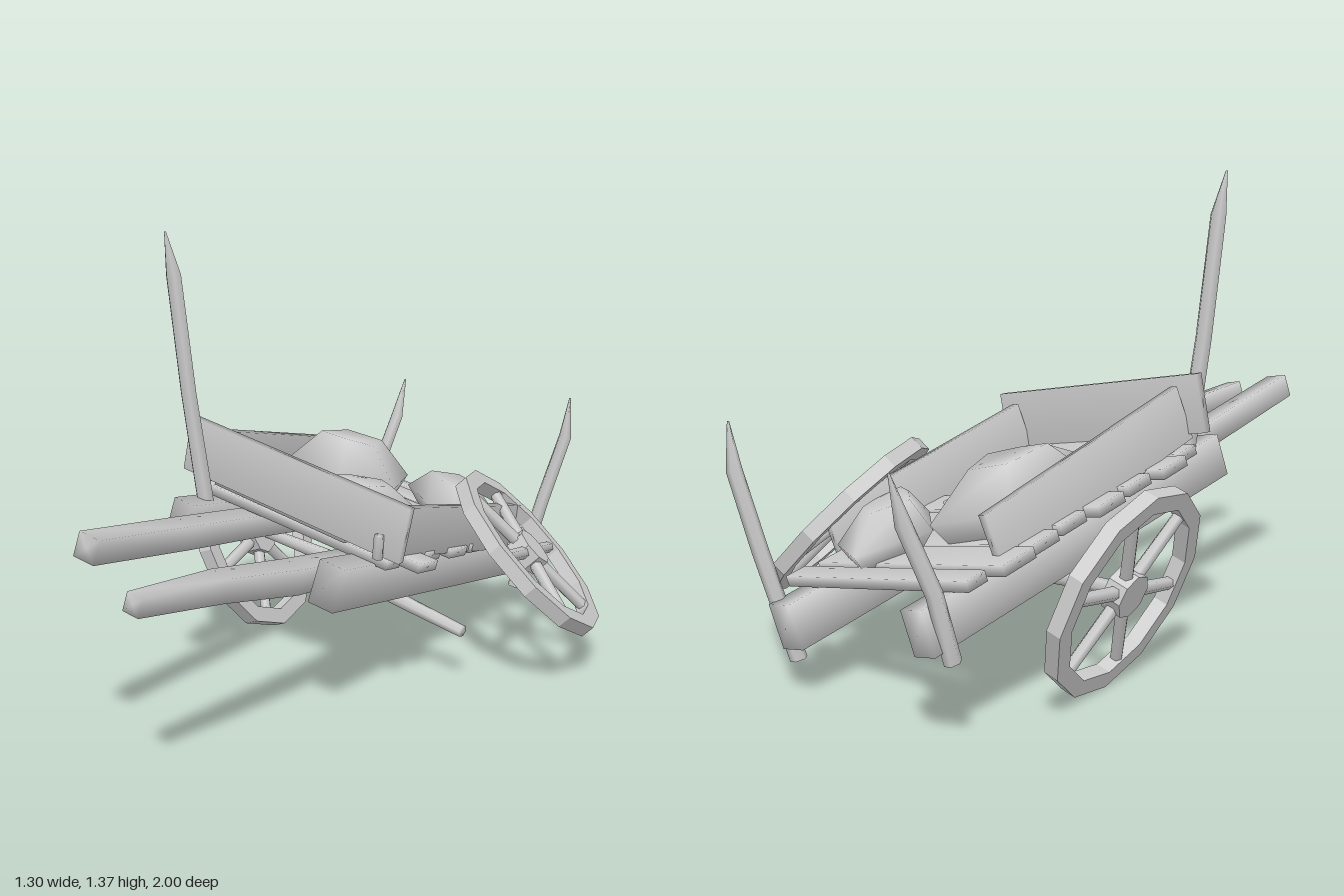
import * as THREE from 'three';
import { mergeVertices } from 'three/addons/utils/BufferGeometryUtils.js';
import { ConvexGeometry } from 'three/addons/geometries/ConvexGeometry.js';

const V = (p) => new THREE.Vector3(...p);
const UP = V([0.2, 0.96, -0.18]).normalize(); // the wrecked bed rolls to one side and pitches back
const material = new THREE.MeshStandardMaterial({ color: 0xcccccc });
const flat = new THREE.MeshStandardMaterial({ color: 0xcccccc, flatShading: true });

// Shared vertices with averaged normals give the worn, rounded shading
function soften(geometry) {
  geometry.deleteAttribute('normal');
  geometry.deleteAttribute('uv');
  const merged = mergeVertices(geometry, 1e-4);
  merged.computeVertexNormals();
  return merged;
}

export function createModel() {
  const cart = new THREE.Group();
  cart.name = 'brokenCart';

  function add(name, geometry, mat = material, parent = cart) {
    const mesh = new THREE.Mesh(geometry, mat);
    mesh.name = name;
    parent.add(mesh);
    return mesh;
  }

  // Squared timber running from a to b
  function beam(name, a, b, w, h, up = UP) {
    const from = V(a), to = V(b);
    const dir = to.clone().sub(from);
    const mesh = add(name, soften(new THREE.BoxGeometry(w, h, dir.length())));
    dir.normalize();
    const x = up.clone().cross(dir).normalize();
    const y = dir.clone().cross(x);
    mesh.quaternion.setFromRotationMatrix(new THREE.Matrix4().makeBasis(x, y, dir));
    mesh.position.copy(from.add(to).multiplyScalar(0.5));
  }

  // Rough pole through points [x, y, z, radius]; four sides make a squared one
  function pole(name, points, sides = 6) {
    const n = points.length - 1;
    const centres = points.map((p) => V(p.slice(0, 3)));
    const axis = centres[0].clone().sub(centres[n]).normalize();
    const e1 = UP.clone().cross(axis);
    if (e1.length() < 0.3) e1.set(0, 0, 1).cross(axis);
    e1.normalize();
    const e3 = e1.clone().cross(axis);
    const geometry = new THREE.CylinderGeometry(1, 1, 1, sides, n);
    geometry.rotateY(Math.PI / sides);
    const pos = geometry.attributes.position;
    for (let i = 0; i < pos.count; i++) {
      const k = Math.round((0.5 - pos.getY(i)) * n);
      const p = centres[k].clone()
        .addScaledVector(e1, pos.getX(i) * points[k][3])
        .addScaledVector(e3, pos.getZ(i) * points[k][3]);
      pos.setXYZ(i, p.x, p.y, p.z);
    }
    add(name, soften(geometry));
  }

  // Twelve-sided wheel with six spokes
  function wheel(name, centre, normal, turn) {
    const group = new THREE.Group();
    group.name = name;
    const ri = 0.258, ro = 0.309, t = 0.022;
    const profile = [[ri, -t], [ro, -t], [ro, t], [ri, t], [ri, -t]].map((p) => new THREE.Vector2(...p));
    add('rim', new THREE.LatheGeometry(profile, 12), flat, group);
    add('hub', new THREE.CylinderGeometry(0.065, 0.065, 0.06, 8), flat, group);
    for (let i = 0; i < 6; i++) {
      const spoke = new THREE.CylinderGeometry(0.018, 0.02, 0.24, 6);
      spoke.translate(0, 0.15, 0).rotateX(Math.PI / 2).rotateY(turn + i * Math.PI / 3);
      add('spoke', spoke, material, group);
    }
    group.position.copy(V(centre));
    group.quaternion.setFromUnitVectors(new THREE.Vector3(0, 1, 0), V(normal).normalize());
    cart.add(group);
  }

  // Lumpy sack: an outline [x, z] with smaller rings above and below
  function sack(name, outline, yLow, yHigh) {
    const cx = outline.reduce((s, p) => s + p[0], 0) / outline.length;
    const cz = outline.reduce((s, p) => s + p[1], 0) / outline.length;
    const points = [];
    for (const [level, scale] of [[0, 0.7], [0.45, 1], [1, 0.5]]) {
      for (const [x, z] of outline) {
        const dx = (x - cx) * scale, dz = (z - cz) * scale;
        points.push(new THREE.Vector3(cx + dx, yLow + (yHigh - yLow) * level - 0.2 * dx + 0.18 * dz, cz + dz));
      }
    }
    add(name, soften(new ConvexGeometry(points)));
  }

  // Main rails
  beam('rightRail', [-0.355, 0.535, 0.3], [-0.385, 0.318, -0.93], 0.075, 0.125);
  beam('leftRail', [0.165, 0.435, 0.3], [0.135, 0.207, -0.92], 0.085, 0.13);

  // Pulling shafts
  pole('rightShaft', [[-0.2, 0.635, 0.87, 0.05], [-0.225, 0.56, 0.45, 0.052],
    [-0.24, 0.5, 0.1, 0.05], [-0.255, 0.42, -0.32, 0.045]], 4);
  pole('leftShaft', [[0.06, 0.57, 0.995, 0.037], [0.08, 0.53, 0.68, 0.05],
    [0.08, 0.46, 0.35, 0.056], [0.06, 0.4, 0, 0.05]], 4);

  // Cross planks of the bed: z, right end, left end, width
  const planks = [[0.08, -0.43, 0.25, 0.08], [-0.03, -0.47, 0.3, 0.11], [-0.16, -0.45, 0.24, 0.1],
    [-0.3, -0.47, 0.25, 0.11], [-0.43, -0.45, 0.24, 0.1], [-0.56, -0.47, 0.24, 0.1],
    [-0.68, -0.49, 0.21, 0.12], [-0.8, -0.46, 0.23, 0.07]];
  const bedY = (x, z) => 0.614 + 0.18 * (z - 0.3) - 0.2 * (x + 0.355);
  for (const [z, x0, x1, w] of planks) {
    beam('bedPlank', [x0, bedY(x0, z), z], [x1, bedY(x1, z), z], w, 0.03);
  }

  // Loose floor panel
  beam('floorPanel', [-0.125, bedY(-0.125, 0.12) + 0.028, 0.12],
    [-0.125, bedY(-0.125, -0.36) + 0.028, -0.36], 0.49, 0.02);

  // Front and side boards
  beam('frontBoard', [-0.44, 0.73, 0.135], [0.325, 0.565, 0.135], 0.025, 0.17, new THREE.Vector3(0.2, 0.98, 0));
  beam('rightSideBoard', [-0.375, 0.695, 0.12], [-0.405, 0.495, -0.69], 0.025, 0.16);
  beam('leftSideBoard', [0.245, 0.56, 0.12], [0.24, 0.375, -0.66], 0.025, 0.15);

  // Corner stakes: one tall, one snapped to a stub, two at the back
  pole('frontStake', [[-0.425, 1.375, 0.245, 0.003], [-0.41, 1.25, 0.23, 0.024],
    [-0.385, 0.9, 0.205, 0.025], [-0.355, 0.6, 0.18, 0.027], [-0.345, 0.47, 0.165, 0.024]]);
  pole('snappedStake', [[0.25, 0.56, 0.16, 0.015], [0.24, 0.49, 0.15, 0.017]]);
  pole('backRightStake', [[-0.365, 0.73, -0.995, 0.003], [-0.38, 0.6, -0.965, 0.022],
    [-0.42, 0.42, -0.905, 0.023], [-0.44, 0.24, -0.865, 0.024]]);
  pole('backLeftStake', [[0.295, 0.75, -0.96, 0.003], [0.285, 0.62, -0.955, 0.022],
    [0.225, 0.4, -0.925, 0.023], [0.16, 0.095, -0.86, 0.024]]);

  // Bent axle and the two wheels, one torn off and leaning on the bed
  pole('axle', [[-0.52, 0.315, -0.33, 0.018], [-0.24, 0.285, -0.3, 0.023],
    [0.05, 0.21, -0.26, 0.023], [0.32, 0.17, -0.21, 0.019]]);
  wheel('rightWheel', [-0.525, 0.302, -0.312], [0.94, 0.33, -0.1], 0.3);
  wheel('looseWheel', [0.405, 0.37, -0.463], [0.66, 0.68, -0.3], 0.1);

  // Load of sacks
  sack('sack', [[-0.37, -0.59], [-0.15, -0.66], [-0.05, -0.41], [-0.2, -0.32], [-0.37, -0.28]], 0.45, 0.65);
  sack('sack', [[-0.03, -0.82], [0.14, -0.73], [0.18, -0.6], [0.17, -0.42], [0.03, -0.49], [-0.13, -0.63]], 0.36, 0.51);
  sack('sack', [[-0.05, -0.43], [0.07, -0.36], [0.05, -0.22], [0, -0.07], [-0.19, -0.08], [-0.17, -0.25]], 0.47, 0.58);

  return cart;
}
